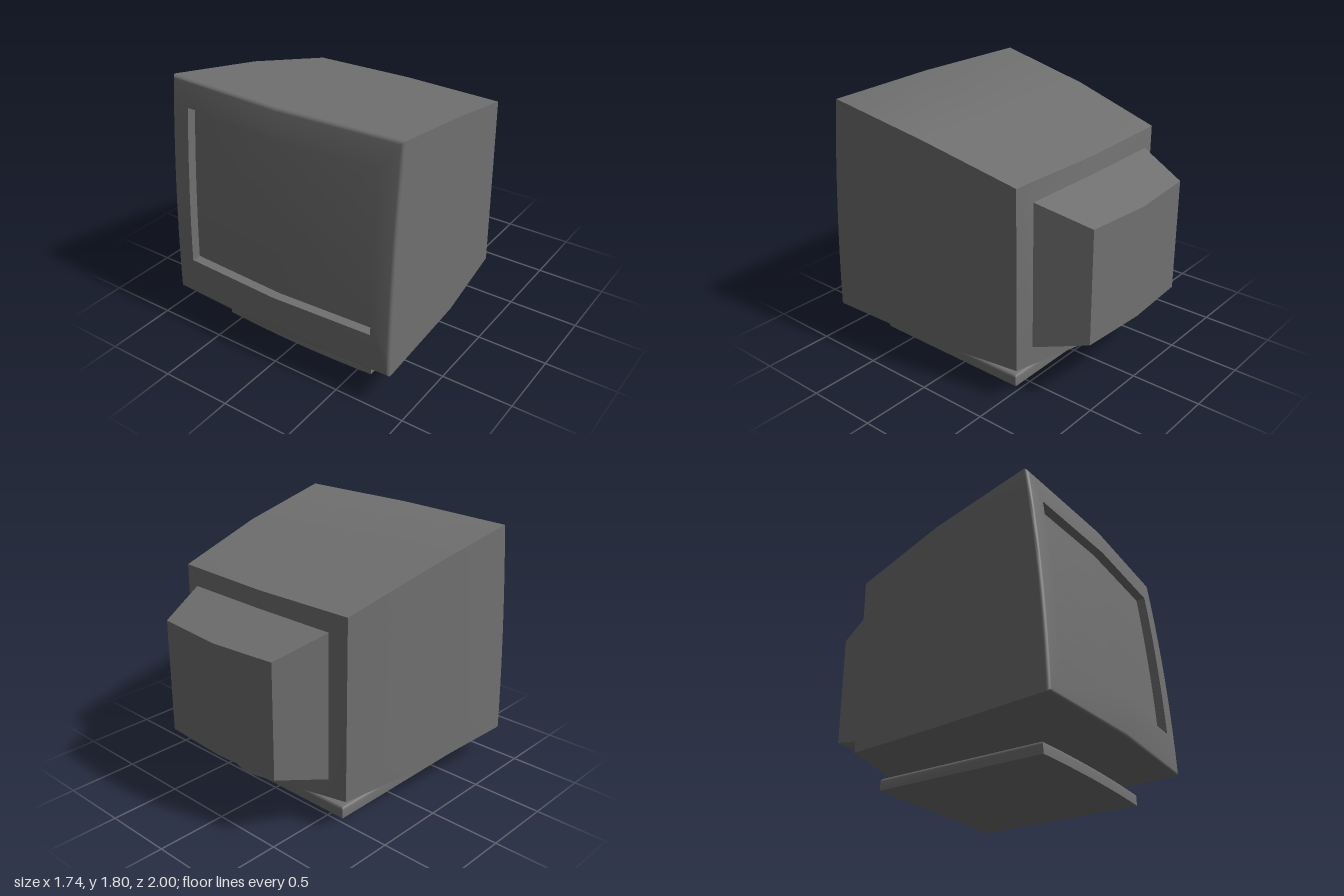
import * as THREE from 'three';
import { toCreasedNormals } from 'three/addons/utils/BufferGeometryUtils.js';

const material = new THREE.MeshStandardMaterial({ color: 0x707070 });
const ROWS = 10;

// Mesh from triangles, smooth across shallow angles and sharp elsewhere
function makeMesh(name, points) {
  let geo = new THREE.BufferGeometry();
  geo.setAttribute('position', new THREE.Float32BufferAttribute(points.flat(), 3));
  geo = toCreasedNormals(geo, 0.5);
  const mesh = new THREE.Mesh(geo, material);
  mesh.name = name;
  return mesh;
}

// Skin between consecutive closed rings
function loft(rings) {
  const tris = [];
  for (let k = 0; k + 1 < rings.length; k++) {
    const p = rings[k], q = rings[k + 1], n = p.length;
    for (let i = 0; i < n; i++) {
      const j = (i + 1) % n;
      tris.push(p[i], q[i], p[j], p[j], q[i], q[j]);
    }
  }
  return tris;
}

// Cover a convex ring with a fan
function fan(ring, flip) {
  const tris = [];
  for (let i = 1; i + 1 < ring.length; i++)
    tris.push(ring[0], ring[flip ? i + 1 : i], ring[flip ? i : i + 1]);
  return tris;
}

// Panel of rows, each with left, middle and right points
function panel(rows, flip) {
  const tris = [];
  for (let r = 0; r + 1 < rows.length; r++)
    for (let c = 0; c < 2; c++) {
      const a = rows[r][c], b = rows[r][c + 1], d = rows[r + 1][c], e = rows[r + 1][c + 1];
      tris.push(...(flip ? [a, d, b, b, d, e] : [a, b, d, b, e, d]));
    }
  return tris;
}

// Leaning front face, peaked along its centre line
function frontZ(x, y) {
  const h = y - 0.25;
  return 0.957 - 0.023 * h - 0.035 * h * h + 0.04 * (1 - Math.abs(x) / 0.87);
}

// Four-sided section with a middle point on its top and bottom edges
function section(w, yb, yt, z, ybMid = yb) {
  const ring = [];
  const add = (x, y) => ring.push([x, y, z(x, y)]);
  add(-w, yb);
  add(0, ybMid);
  for (let i = 0; i <= ROWS; i++) add(w, yb + (yt - yb) * i / ROWS);
  add(0, yt);
  for (let i = ROWS; i > 0; i--) add(-w, yb + (yt - yb) * i / ROWS);
  return ring;
}

// Six-point ring for the rear: corners plus middle points, bottom then top
function rearRing(w, yb, yt, z, ytMid, zBottomMid, zTopMid) {
  return [[-w, yb, z], [0, yb, zBottomMid], [w, yb, z], [w, yt, z], [0, ytMid, zTopMid], [-w, yt, z]];
}

const rearEdge = rearRing(0.735, 0.24, 1.5, -0.58, 1.5, -0.77, -0.608);
const housingNear = rearRing(0.61, 0.37, 1.38, -0.61, 1.38, -0.77, -0.618);
const housingFar = rearRing(0.49, 0.47, 1.265, -0.97, 1.255, -1, -1);

// Casing: recess, bezel, rounded rim and tapering shell in one skin
function createCasing() {
  const back = (x, y) => (x === 0 ? (y < 0.3 ? -0.77 : -0.608) : -0.58);
  const r = 0.022;
  const rings = [
    section(0.73, 0.51, 1.615, (x, y) => frontZ(x, y) - 0.065),
    section(0.73, 0.51, 1.615, frontZ),
  ];
  for (let i = 0; i <= 4; i++) {
    const a = i / 4 * Math.PI / 2, inset = r * (1 - Math.sin(a)), drop = r * (1 - Math.cos(a));
    rings.push(section(0.87 - inset, 0.245 + inset, 1.8 - inset, (x, y) => frontZ(x, y) - drop));
  }
  rings.push(
    section(0.818, 0.225, 1.667, () => 0.1, 0.155),
    section(0.735, 0.24, 1.5, back),
  );
  return makeMesh('casing', loft(rings));
}

// Screen glass set back in the bezel
function createScreen() {
  const rows = [];
  for (let i = 0; i <= ROWS; i++) {
    const y = 0.51 + 1.105 * i / ROWS;
    rows.push([-0.73, 0, 0.73].map((x) => [x, y, frontZ(x, y) - 0.065]));
  }
  return makeMesh('screen', panel(rows));
}

// Tube housing behind the casing
function createTubeHousing() {
  const [a, b, c, d, e, f] = housingFar;
  return makeMesh('tubeHousing', [...loft([housingNear, housingFar]), ...panel([[a, b, c], [f, e, d]], true)]);
}

// Foot plate with a bowed front and rounded top edge
function createFoot() {
  const outline = (inset, y) => {
    const w = 0.603 - inset, ring = [];
    for (let i = 0; i <= 8; i++) {
      const t = 1 - i / 4;
      ring.push([w * t, y, 0.77 - inset - 0.02 * t * t]);
    }
    ring.push([-w, y, -0.463 + inset], [w, y, -0.463 + inset]);
    return ring;
  };
  const rings = [outline(0, 0), outline(0, 0.06)];
  for (let i = 1; i <= 4; i++) {
    const a = i / 4 * Math.PI / 2;
    rings.push(outline(0.022 * (1 - Math.cos(a)), 0.06 + 0.022 * Math.sin(a)));
  }
  return makeMesh('foot', [...loft(rings), ...fan(rings[0]), ...fan(rings.at(-1), true)]);
}

export function createModel() {
  const model = new THREE.Group();
  model.name = 'monitor';

  // Round swivel between foot and casing
  const swivel = new THREE.Mesh(new THREE.CylinderGeometry(0.325, 0.325, 0.12, 40), material);
  swivel.name = 'swivel';
  swivel.position.set(-0.02, 0.13, 0.14);

  // Rear panel framing the tube housing, wedge-shaped below it
  const rearPanel = makeMesh('rearPanel', loft([rearEdge, housingNear]));

  model.add(createCasing(), createScreen(), rearPanel, createTubeHousing(), createFoot(), swivel);
  return model;
}
